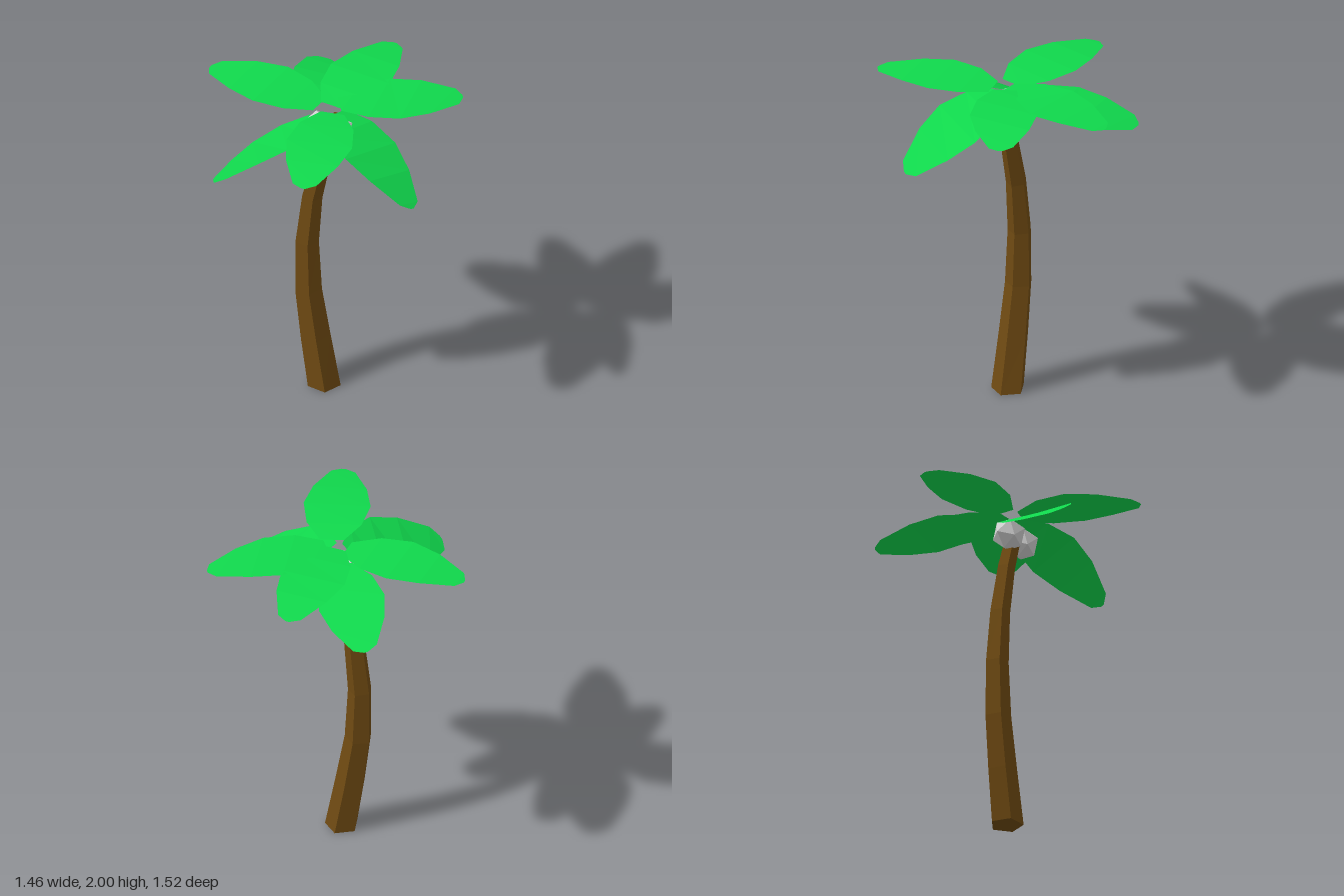
import * as THREE from 'three';

const trunkBrown = new THREE.MeshStandardMaterial({ color: 0x6f4a12 });
const leafGreen = new THREE.MeshStandardMaterial({ color: 0x10d84c, side: THREE.DoubleSide });
const nutGrey = new THREE.MeshStandardMaterial({ color: 0xd2d2d2 });

// Faceted geometry from points and triangle indices
function faceted(points, index) {
  const indexed = new THREE.BufferGeometry().setFromPoints(points);
  indexed.setIndex(index);
  const geometry = indexed.toNonIndexed();
  geometry.computeVertexNormals();
  return geometry;
}

// Five-sided tapering trunk swept along a bent line, rings tilted with the bend
function trunkGeometry() {
  const line = [[0.04, 0], [-0.015, 0.33], [-0.061, 0.65], [-0.07, 0.99],
    [-0.037, 1.32], [0.033, 1.63], [0.135, 1.93]];
  const sides = 5, points = [], index = [];
  line.forEach(([x, y], i) => {
    const radius = 0.1 - 0.029 * y;
    const before = line[Math.max(i - 1, 0)], after = line[Math.min(i + 1, line.length - 1)];
    const lean = i === 0 ? 0 : (after[0] - before[0]) / (after[1] - before[1]);
    for (let j = 0; j < sides; j++) {
      const angle = (j * 72 - 11) * Math.PI / 180;
      const dx = radius * Math.cos(angle);
      points.push(new THREE.Vector3(x + dx, y - lean * dx, radius * Math.sin(angle)));
      if (i > 0) {
        const a = (i - 1) * sides + j, b = (i - 1) * sides + (j + 1) % sides;
        index.push(a, a + sides, b, b, a + sides, b + sides);
      }
    }
  });
  // End caps
  const top = (line.length - 1) * sides;
  for (let j = 1; j < sides - 1; j++) {
    index.push(0, j, j + 1, top, top + j + 1, top + j);
  }
  return faceted(points, index);
}

// Leaf blade: position along the length and half width there
const blade = [[0, 0.07], [0.2, 0.16], [0.45, 0.195], [0.7, 0.155], [0.955, 0.07], [1, 0.012]];

// The blade runs from base to tip in plan; height depends on one axis only
function leafGeometry({ base, tip, axis, height }) {
  const from = new THREE.Vector2(...base), to = new THREE.Vector2(...tip);
  const along = to.clone().sub(from).normalize();
  const points = [], index = [];
  blade.forEach(([t, half], i) => {
    const middle = from.clone().lerp(to, t);
    for (const side of [-1, 1]) {
      const x = middle.x - along.y * half * side;
      const z = middle.y + along.x * half * side;
      points.push(new THREE.Vector3(x, height(axis === 'x' ? x : z), z));
    }
    if (i > 0) {
      const a = 2 * i - 2;
      index.push(a, a + 1, a + 2, a + 1, a + 3, a + 2);
    }
  });
  return faceted(points, index);
}

export function createModel() {
  const model = new THREE.Group();
  const add = (name, geometry, material) => {
    const mesh = new THREE.Mesh(geometry, material);
    mesh.name = name;
    model.add(mesh);
    return mesh;
  };

  add('trunk', trunkGeometry(), trunkBrown);

  // Gently arched upper leaves and drooping lower leaves
  const arch = (v) => 1.981 + 0.12 * Math.abs(v) - 0.19 * v * v;
  const droop = (start, top, slope, bend) => (v) => {
    const d = Math.abs(v - start);
    return top - slope * d - bend * d * d;
  };
  const leaves = {
    backLeaf: { base: [0.08, -0.02], tip: [0.12, -0.76], axis: 'z', height: arch },
    backLeftLeaf: { base: [0.12, -0.04], tip: [0.71, -0.455], axis: 'x', height: arch },
    frontLeaf: { base: [0.12, 0.05], tip: [0.285, 0.76], axis: 'z', height: arch },
    rightLeaf: { base: [0.01, 0], tip: [-0.73, -0.07], axis: 'x', height: arch },
    leftLowerLeaf: { base: [0.12, 0], tip: [0.725, 0.23], axis: 'x',
      height: droop(0.1, 1.96, 0.28, 0.43) },
    frontRightLowerLeaf: { base: [0.01, 0.05], tip: [-0.355, 0.625], axis: 'x',
      height: droop(0.1, 1.955, 0.33, 0.45) },
    backRightLowerLeaf: { base: [0.02, -0.1], tip: [-0.33, -0.665], axis: 'z',
      height: droop(0, 1.945, 0.12, 0.19) },
  };
  for (const [name, leaf] of Object.entries(leaves)) add(name, leafGeometry(leaf), leafGreen);

  // Faceted nuts beside the trunk top
  const nuts = { leftNut: [0.18, 1.845, 0.02], rightNut: [0.02, 1.84, 0.03] };
  for (const [name, position] of Object.entries(nuts)) {
    const nut = add(name, new THREE.IcosahedronGeometry(0.1, 0), nutGrey);
    nut.position.set(...position);
    nut.rotation.set(0.3, 0.4, 0.2);
  }
  return model;
}
